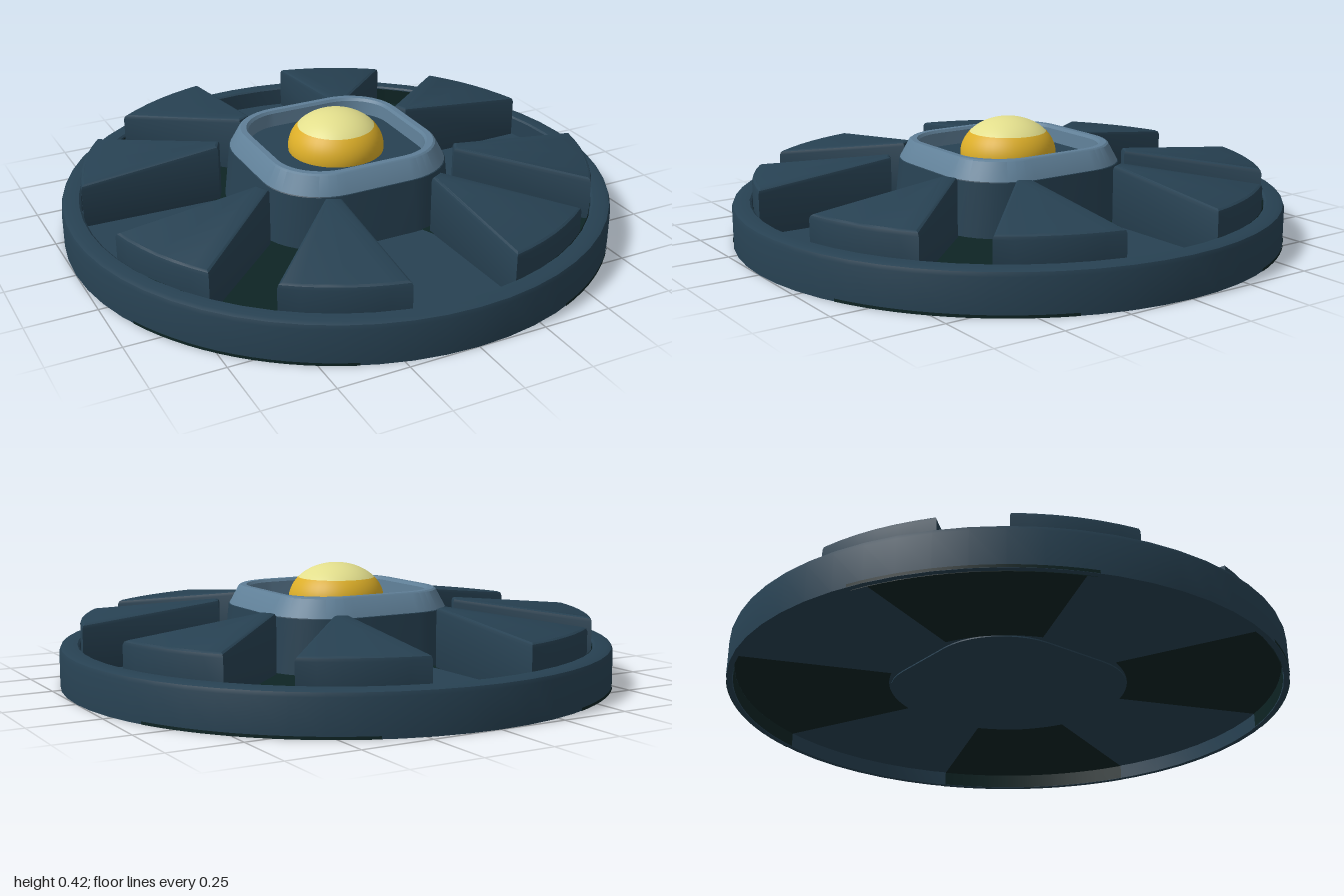
import * as THREE from 'three';
import { toCreasedNormals } from 'three/addons/utils/BufferGeometryUtils.js';

const mat = (name, color, side = THREE.FrontSide) => {
  const m = new THREE.MeshStandardMaterial({ color, side });
  m.name = name;
  return m;
};

// Point on a rounded square (half width h, corner radius r), n steps per corner
function roundedSquare(h, r, n) {
  const pts = [];
  for (let q = 0; q < 4; q++) {
    const mid = q * Math.PI / 2 + Math.PI / 4;
    const cx = Math.sign(Math.cos(mid)) * (h - r), cz = Math.sign(Math.sin(mid)) * (h - r);
    for (let i = 0; i <= n; i++) {
      const a = q * Math.PI / 2 + (i / n) * Math.PI / 2;
      pts.push([cx + r * Math.cos(a), cz + r * Math.sin(a)]);
    }
  }
  return pts;
}

// Loft rounded squares through [half width, y, corner radius] sections
function squareLoft(sections, n = 10) {
  const pos = [], idx = [], cols = 4 * (n + 1);
  for (const [h, y, r] of sections)
    for (const [x, z] of roundedSquare(h, r, n)) pos.push(x, y, z);
  for (let j = 0; j < sections.length - 1; j++)
    for (let i = 0; i < cols; i++) {
      const k = (i + 1) % cols, a = j * cols + i, b = j * cols + k;
      idx.push(a, a + cols, b, b, a + cols, b + cols);
    }
  const g = new THREE.BufferGeometry();
  g.setAttribute('position', new THREE.Float32BufferAttribute(pos, 3));
  g.setIndex(idx);
  return toCreasedNormals(g, 0.5);
}

// Bevelled wedge between a cardinal and a diagonal channel, top rising inward
function wedgeGeometry(mirrored) {
  const pts = [];
  const add = (r, a) => {
    const x = r * Math.sin(a), y = r * Math.cos(a);
    pts.push(mirrored ? new THREE.Vector2(y, x) : new THREE.Vector2(x, y));
  };
  add(0.43, 0.419);
  for (let i = 0; i <= 6; i++) add(0.925, 0.207 + (0.663 - 0.207) * i / 6);
  add(0.43, 0.55);
  const g = new THREE.ExtrudeGeometry(new THREE.Shape(pts), {
    depth: 0.145, bevelEnabled: true, bevelThickness: 0.015,
    bevelSize: 0.012, bevelOffset: -0.012, bevelSegments: 2,
  });
  g.rotateX(-Math.PI / 2);
  g.translate(0, 0.075, 0);
  const p = g.attributes.position;
  for (let i = 0; i < p.count; i++) {
    if (p.getY(i) < 0.15) continue;
    p.setY(i, p.getY(i) + 0.112 * (0.92 - Math.hypot(p.getX(i), p.getZ(i))));
  }
  return toCreasedNormals(g, 0.5);
}

export function createModel() {
  const model = new THREE.Group();
  model.name = 'model';
  const blue = mat('deepBlue', 0x274152);
  const steel = mat('steelBlue', 0x5f7f97);
  const gold = mat('gold', 0xdcae28);
  const pale = mat('paleYellow', 0xe2de8c);
  const dark = mat('darkGreen', 0x0e2424, THREE.DoubleSide);

  const add = (name, geometry, material, parent = model) => {
    const m = new THREE.Mesh(geometry, material);
    m.name = name;
    parent.add(m);
    return m;
  };

  // Round dish with a raised rim, hollow underneath
  const dish = [
    [0, 0.055], [0.98, 0.055], [0.98, 0], [1, 0], [1, 0.128], [0.995, 0.142],
    [0.98, 0.148], [0.937, 0.148], [0.93, 0.142], [0.93, 0.075], [0, 0.075],
  ].map(([x, y]) => new THREE.Vector2(x, y));
  add('baseDish', toCreasedNormals(new THREE.LatheGeometry(dish, 56), 0.5), blue);

  // Dark diagonal sectors lining the dish
  const sector = (r0, r1, y, t) =>
    new THREE.RingGeometry(r0, r1, 12, 1, t, Math.PI / 4).rotateX(-Math.PI / 2).translate(0, y, 0);
  const band = (r, y0, y1, t) =>
    new THREE.CylinderGeometry(r, r, y1 - y0, 14, 1, true, t, Math.PI / 4).translate(0, (y0 + y1) / 2, 0);
  for (let k = 0; k < 4; k++) {
    const t = Math.PI / 8 + k * Math.PI / 2;
    const g = new THREE.Group();
    g.name = 'darkSector';
    model.add(g);
    add('sectorFloor', sector(0.36, 0.927, 0.078, t), dark, g);
    add('sectorUnderside', sector(0.43, 0.975, 0.052, t), dark, g);
    add('sectorRimLining', band(0.926, 0.076, 0.14, t), dark, g);
    add('sectorSkirtLining', band(0.976, 0, 0.053, t), dark, g);
    add('sectorFoot', band(1, 0, 0.01, t).scale(1.001, 1, 1.001), dark, g);
  }

  // Eight wedges in mirrored pairs
  const wedges = [wedgeGeometry(false), wedgeGeometry(true)];
  for (let k = 0; k < 4; k++)
    for (const w of wedges) add('wedge', w, blue).rotation.y = k * Math.PI / 2;

  // Central hub
  add('hub', squareLoft([
    [0, 0.05, 0], [0.375, 0.05, 0.25], [0.35, 0.268, 0.22], [0.34, 0.278, 0.215], [0, 0.278, 0],
  ]), blue);

  // Steel frame around the hub top
  add('hubFrame', squareLoft([
    [0.28, 0.27, 0.16], [0.348, 0.27, 0.22], [0.315, 0.333, 0.19], [0.308, 0.338, 0.185],
    [0.287, 0.338, 0.165], [0.28, 0.328, 0.16], [0.275, 0.27, 0.155],
  ]), steel);

  // Flattened dome with a pale cap
  const split = 0.92;
  const dome = (name, start, length, material) => {
    const g = new THREE.SphereGeometry(1, 40, 12, 0, Math.PI * 2, start, length);
    const m = add(name, g, material);
    m.scale.set(0.175, 0.133, 0.175);
    m.position.y = 0.289;
  };
  dome('domeCap', 0, split, pale);
  dome('domeBody', split, Math.PI / 2 + 0.15 - split, gold);

  return model;
}
